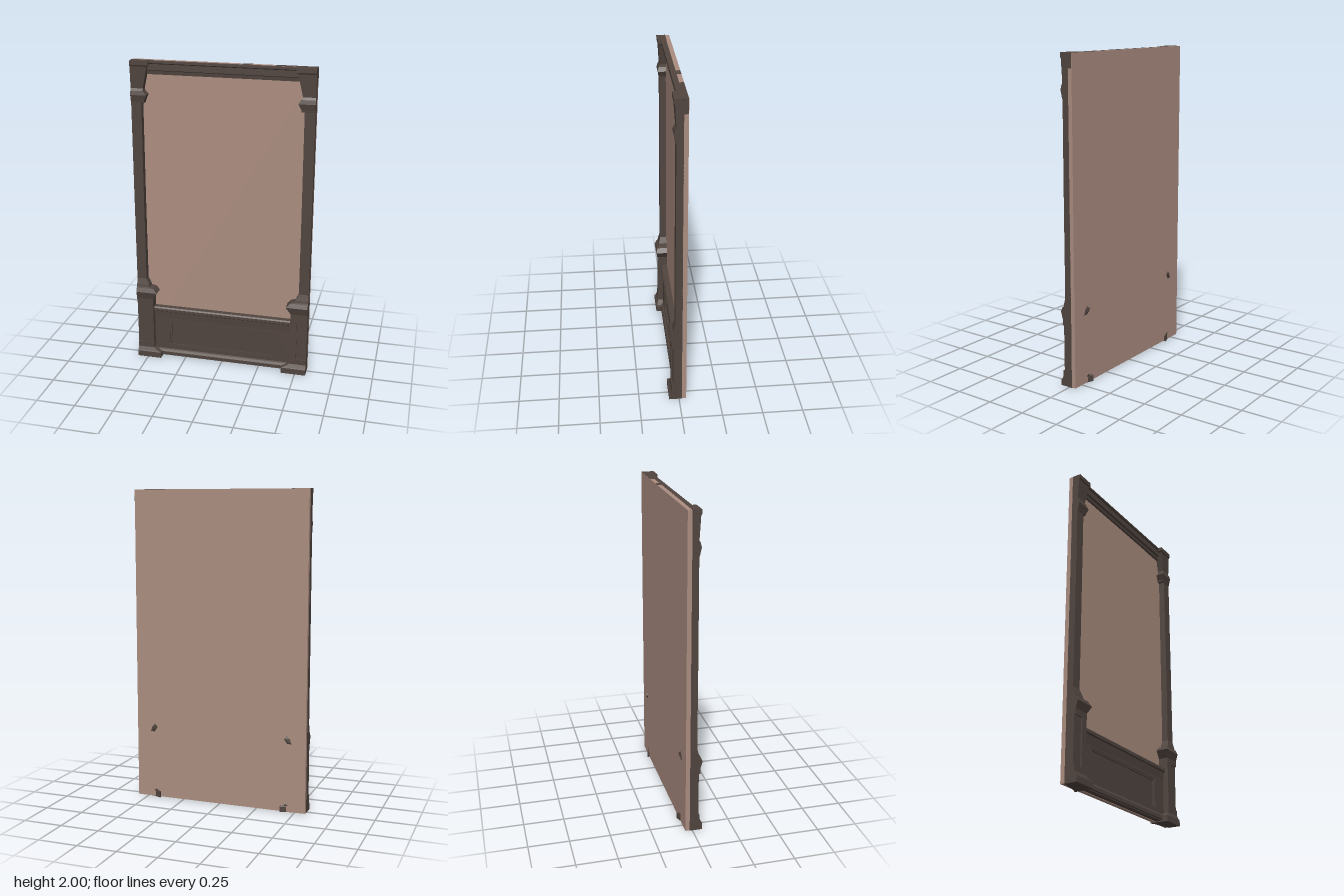
import * as THREE from 'three';

const wood = new THREE.MeshStandardMaterial({ color: 0x51453f });
wood.name = 'dark wood';
const plaster = new THREE.MeshStandardMaterial({ color: 0xab8d80 });
plaster.name = 'dusty pink plaster';

const HALF = 0.57;

// Column rings from the floor up: [y, inner x, front z, back z]
const RINGS = [
  [0, 0.41, 0.062, -0.06], [0.038, 0.41, 0.062, -0.06],
  [0.043, 0.425, 0.055, -0.05], [0.065, 0.46, 0.045, -0.04],
  [0.065, 0.46, 0.036, -0.04], [0.425, 0.46, 0.036, -0.04],
  [0.425, 0.46, 0.045, -0.04], [0.473, 0.43, 0.059, -0.056],
  [0.5, 0.455, 0.047, -0.04], [0.505, 0.485, 0.038, -0.03],
  [0.52, 0.488, 0.035, -0.03], [0.56, 0.507, 0.024, -0.019],
  [1.1, 0.507, 0.024, -0.019], [1.74, 0.505, 0.022, -0.019],
  [1.74, 0.487, 0.026, -0.019], [1.755, 0.485, 0.028, -0.019],
  [1.79, 0.468, 0.036, -0.019], [1.815, 0.49, 0.03, -0.019],
  [1.83, 0.492, 0.022, -0.019], [1.965, 0.462, 0.03, -0.019],
  [1.975, 0.452, 0.036, -0.019], [2, 0.452, 0.036, -0.019],
];

// Loft of the cut-off column; side is +1 or -1
function columnGeometry(side) {
  const loops = RINGS.map(([y, xi, zf, zb]) => [
    [HALF, zf], [xi, zf], [xi, zb],
    [xi + 0.04, Math.max(zb, -0.044)], [HALF, -0.019],
  ].map(([x, z]) => [side * x, y, z]));
  const pos = [];
  const tri = (a, b, c) => pos.push(...a, ...(side > 0 ? b : c), ...(side > 0 ? c : b));
  for (let r = 0; r < loops.length - 1; r++) {
    const lo = loops[r], up = loops[r + 1];
    for (let i = 0; i < 5; i++) {
      const j = (i + 1) % 5;
      tri(lo[i], up[i], lo[j]);
      tri(lo[j], up[i], up[j]);
    }
  }
  const first = loops[0], last = loops[loops.length - 1];
  for (let i = 1; i < 4; i++) {
    tri(first[0], first[i], first[i + 1]);
    tri(last[0], last[i + 1], last[i]);
  }
  const g = new THREE.BufferGeometry();
  g.setAttribute('position', new THREE.Float32BufferAttribute(pos, 3));
  g.computeVertexNormals();
  return g;
}

function polygon(points) {
  return new THREE.Shape(points.map(([x, y]) => new THREE.Vector2(x, y)));
}

// Moulding with a [z, y] profile running across the width
function moulding(points, half) {
  const g = new THREE.ExtrudeGeometry(polygon(points), { depth: 2 * half, bevelEnabled: false });
  g.rotateY(-Math.PI / 2);
  // after the turn the profile runs along +z and the length along -x
  g.translate(half, 0, 0);
  return g;
}

function rect(w, y0, y1) {
  return [[-w, y0], [w, y0], [w, y1], [-w, y1]];
}

export function createModel() {
  const group = new THREE.Group();
  const add = (name, geometry, material = wood) => {
    const m = new THREE.Mesh(geometry, material);
    m.name = name;
    group.add(m);
    return m;
  };
  const box = (name, x0, x1, y0, y1, z0, z1, material = wood) =>
    add(name, new THREE.BoxGeometry(x1 - x0, y1 - y0, z1 - z0), material)
      .position.set((x0 + x1) / 2, (y0 + y1) / 2, (z0 + z1) / 2);

  // Wall slab
  box('wallPanel', -HALF, HALF, 0.003, 1.999, -0.045, -0.018, plaster);

  // Half columns with a sunk field in each plinth
  for (const side of [1, -1]) {
    add(side > 0 ? 'leftColumn' : 'rightColumn', columnGeometry(side));
    let pts = [[0.46, 0.06], [HALF, 0.06], [HALF, 0.1], [0.503, 0.1],
      [0.503, 0.39], [HALF, 0.39], [HALF, 0.43], [0.46, 0.43]];
    pts = pts.map(([x, y]) => [side * x, y]);
    const border = new THREE.ExtrudeGeometry(polygon(pts), { depth: 0.011, bevelEnabled: false });
    border.translate(0, 0, 0.034);
    add('plinthBorder', border);
  }

  // Top rail with stepped moulding, and its exposed end
  add('topRail', moulding([
    [-0.025, 1.915], [-0.006, 1.915], [-0.004, 1.937], [0.006, 1.942],
    [0.006, 1.98], [0.014, 1.986], [0.014, 1.998], [-0.025, 1.998],
  ], 0.53));
  box('topRailEnd', 0.32, HALF + 0.001, 1.912, 2, -0.044, -0.018);
  box('topRailPatch', 0.12, 0.18, 1.95, 2, -0.044, -0.018);

  // Dado: cap rail, field and foot mouldings
  add('dadoCap', moulding([
    [-0.025, 0.28], [0.012, 0.28], [0.016, 0.328], [0.024, 0.334],
    [0.024, 0.352], [0.016, 0.36], [-0.025, 0.36],
  ], 0.5));
  add('dadoFoot', moulding([
    [-0.03, 0.006], [0.018, 0.006], [0.018, 0.012], [0.028, 0.014],
    [0.028, 0.035], [0.02, 0.05], [0.012, 0.054], [-0.03, 0.054],
  ], 0.5));
  box('dadoBack', -0.5, 0.5, 0.05, 0.29, -0.025, -0.004);

  // Dado face with a two-step recess
  const steps = [[0.355, 0.078, 0.26, 0.005, 0.01], [0.345, 0.087, 0.25, -0.005, 0.005]];
  for (const [w, y0, y1, z0, z1] of steps) {
    const face = polygon(rect(0.5, 0.05, 0.285));
    face.holes.push(new THREE.Path(rect(w, y0, y1).map(([x, y]) => new THREE.Vector2(x, y))));
    const g = new THREE.ExtrudeGeometry(face, { depth: z1 - z0, bevelEnabled: false });
    g.translate(0, 0, z0);
    add('dadoFace', g);
  }
  return group;
}
